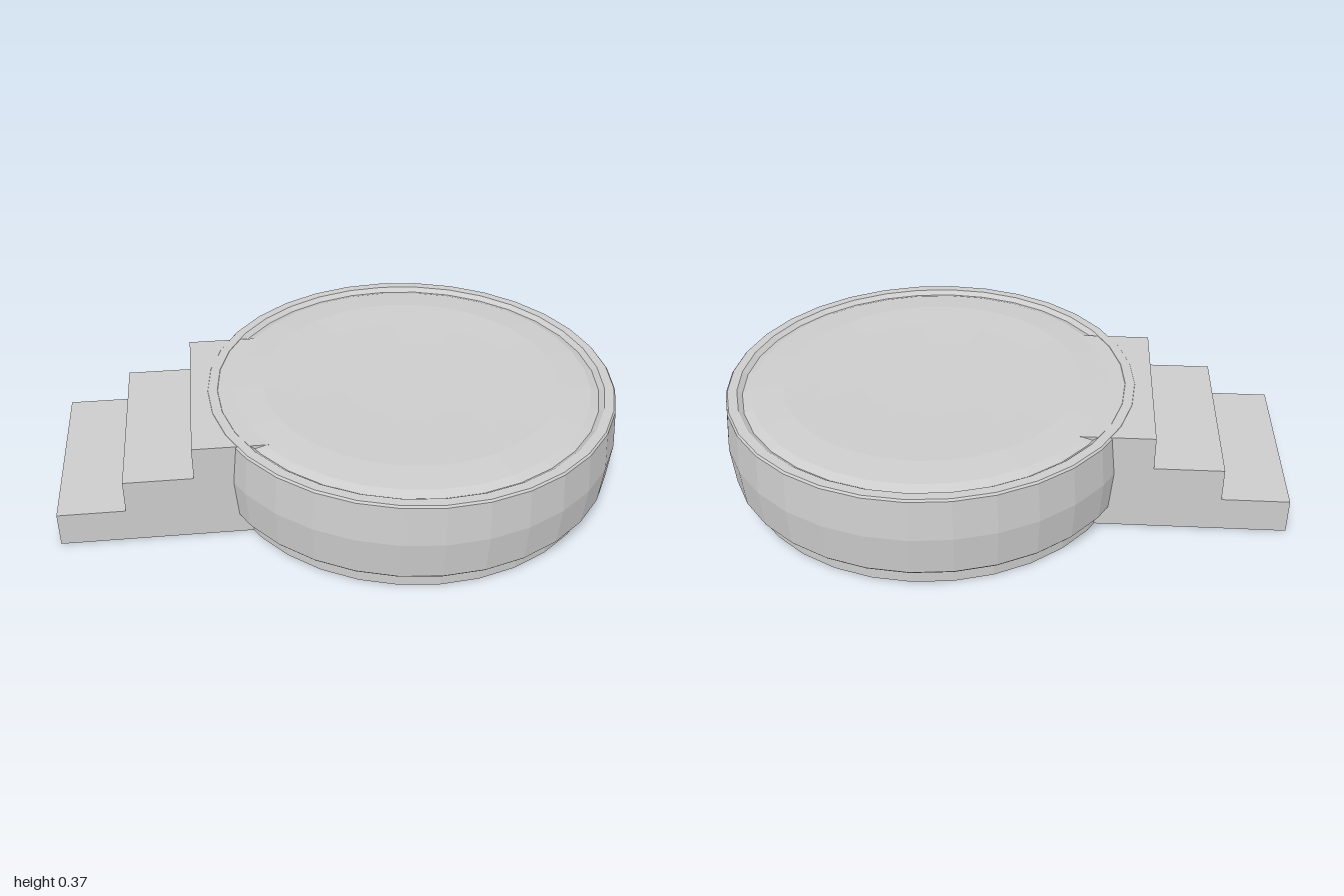
import * as THREE from 'three';

export function createModel() {
  const model = new THREE.Group();
  const stone = new THREE.MeshStandardMaterial({ color: 0xcccccc, flatShading: true });
  stone.name = 'grey stone';
  const centreX = 0.257;

  // Revolve a bottom-to-top profile of [radius, height] pairs
  const addRound = (name, profile) => {
    const points = profile.map(([r, y]) => new THREE.Vector2(r, y));
    const mesh = new THREE.Mesh(new THREE.LatheGeometry(points, 32), stone);
    mesh.name = name;
    mesh.position.x = centreX;
    model.add(mesh);
  };

  // Narrow plinth
  addRound('plinth', [[0, 0], [0.69, 0], [0.69, 0.07]]);

  // Bulging drum with a raised rim
  addRound('drum', [
    [0.6, 0.068], [0.725, 0.068], [0.731, 0.075], [0.743, 0.215],
    [0.731, 0.357], [0.725, 0.364], [0.692, 0.364], [0.674, 0.35],
  ]);

  // Gently swelling floor, slightly dished in the middle
  addRound('floor', [
    [0.674, 0.35], [0.643, 0.362], [0.53, 0.371],
    [0.4, 0.367], [0.25, 0.364], [0, 0.363],
  ]);

  // Three steps leading up to the drum
  const side = new THREE.Shape();
  side.moveTo(-1, 0);
  side.lineTo(-0.2, 0);
  side.lineTo(-0.2, 0.363);
  [[-0.53, 0.363, 0.243], [-0.768, 0.243, 0.124], [-1, 0.124, 0]].forEach(([x, top, bottom]) => {
    side.lineTo(x, top);
    side.lineTo(x, bottom);
  });
  const steps = new THREE.Mesh(
    new THREE.ExtrudeGeometry(side, { depth: 0.69, bevelEnabled: false }), stone);
  steps.name = 'steps';
  steps.position.z = -0.345;
  model.add(steps);

  return model;
}
